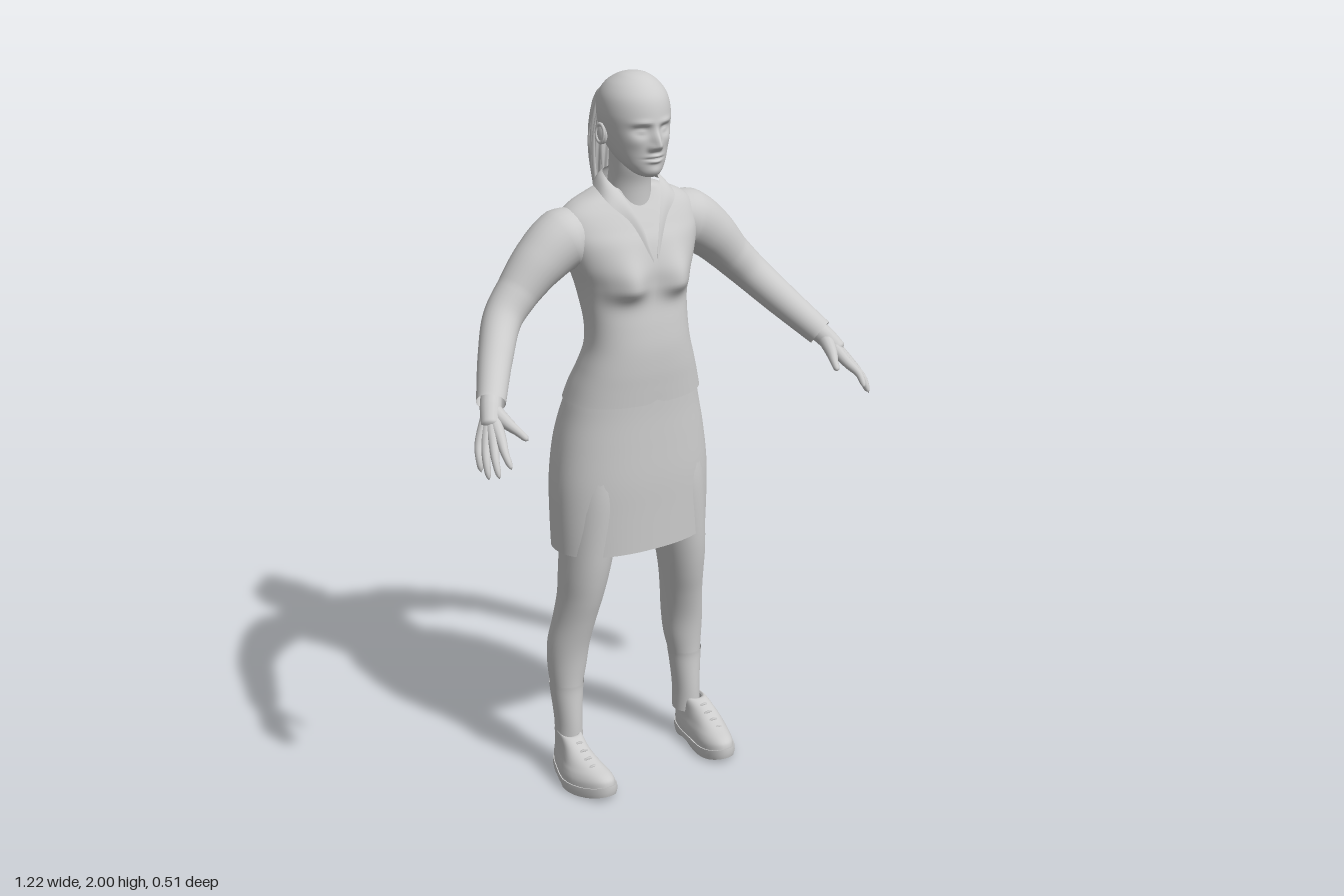
import * as THREE from 'three';
import { mergeVertices, toCreasedNormals } from 'three/addons/utils/BufferGeometryUtils.js';

const clay = new THREE.MeshStandardMaterial({ color: 0xcccccc, side: THREE.DoubleSide });
clay.name = 'light grey';

const V = (x, y, z) => new THREE.Vector3(x, y, z);
const gauss = (d, s) => Math.exp(-(d * d) / (s * s));
const catmull = (a, b, c, d, t) =>
  0.5 * (2 * b + (c - a) * t + (2 * a - 5 * b + 4 * c - d) * t * t + (3 * b - a - 3 * c + d) * t * t * t);

function part(parent, name, geometry) {
  const mesh = new THREE.Mesh(geometry, clay);
  mesh.name = name;
  parent.add(mesh);
  return mesh;
}

// Grid of points at(i, j) turned into a smooth surface
function surface(rows, cols, at) {
  const pos = [], idx = [];
  for (let i = 0; i <= rows; i++) for (let j = 0; j <= cols; j++) pos.push(...at(i, j).toArray());
  for (let i = 0; i < rows; i++) for (let j = 0; j < cols; j++) {
    const a = i * (cols + 1) + j, c = a + cols + 1;
    idx.push(a, c, a + 1, a + 1, c, c + 1);
  }
  let g = new THREE.BufferGeometry();
  g.setAttribute('position', new THREE.Float32BufferAttribute(pos, 3));
  g.setIndex(idx);
  g = mergeVertices(g, 1e-5);
  g.computeVertexNormals();
  return g;
}

// Upward loft through rings [y, halfWidth, zFront, zBack, centreX]; the seam is at the back
function loft(rings, { seg = 40, steps = 6, power = 1, deform = null, gap = () => 0 } = {}) {
  const n = rings.length - 1;
  const ring = (u) => {
    const k = Math.min(Math.floor(u), n - 1), t = u - k;
    const q = (o) => rings[Math.max(0, Math.min(n, k + o))];
    return [0, 1, 2, 3, 4].map((m) => catmull(q(-1)[m] || 0, q(0)[m] || 0, q(1)[m] || 0, q(2)[m] || 0, t));
  };
  const pw = (v) => Math.sign(v) * Math.pow(Math.abs(v), power);
  return surface(n * steps, seg, (i, j) => {
    const [y, w, zf, zb, cx] = ring(i / steps);
    const g = gap(y), t = g + (j / seg) * (Math.PI * 2 - 2 * g);
    const v = V(cx + w * pw(Math.sin(t)), y, (zf + zb) / 2 - ((zf - zb) / 2) * pw(Math.cos(t)));
    if (deform) deform(v, t);
    return v;
  });
}

// Tube of changing radius, optionally with a rounded far end
function limb(points, radii, round = false, seg = 16, n = 28) {
  const curve = new THREE.CatmullRomCurve3(points);
  const g = new THREE.TubeGeometry(curve, n, 1, seg);
  const p = g.attributes.position, v = V(0, 0, 0);
  for (let i = 0; i <= n; i++) {
    const u = i / n, c = curve.getPointAt(u);
    const f = curve.getUtoTmapping(u) * (radii.length - 1), k = Math.min(Math.floor(f), radii.length - 2);
    let r = THREE.MathUtils.lerp(radii[k], radii[k + 1], f - k);
    if (round) r *= Math.sqrt(Math.min(1, (1 - u) * 12));
    for (let j = 0; j <= seg; j++) {
      const m = i * (seg + 1) + j;
      v.fromBufferAttribute(p, m).sub(c).multiplyScalar(r).add(c);
      p.setXYZ(m, v.x, v.y, v.z);
    }
  }
  g.deleteAttribute('uv');
  g.deleteAttribute('normal');
  const out = mergeVertices(g, 1e-5);
  out.computeVertexNormals();
  return out;
}

// Brow, eyes, nose, mouth and chin pushed out of the front of the head
function shapeFace(v) {
  if (v.z < -0.01) return;
  const { x, y } = v, ax = Math.abs(x);
  const fade = Math.min(1, (v.z + 0.01) / 0.03);
  const bump = (cx, cy, sx, sy, h) => h * gauss(ax - cx, sx) * gauss(y - cy, sy);
  let d = 0.027 * gauss(x, 0.012) * gauss(y - 0.006 - 1.82, y > 1.826 ? 0.034 : 0.012);
  d += bump(0.014, 1.82, 0.008, 0.01, 0.009);
  d += bump(0.034, 1.864, 0.02, 0.013, -0.014) + bump(0.034, 1.862, 0.013, 0.007, 0.009);
  d += bump(0.034, 1.884, 0.024, 0.008, 0.006) + bump(0.05, 1.835, 0.02, 0.018, 0.004);
  d += bump(0, 1.797, 0.02, 0.005, 0.008) + bump(0, 1.783, 0.018, 0.005, 0.008);
  d += bump(0, 1.79, 0.022, 0.002, -0.006) + bump(0, 1.757, 0.02, 0.012, 0.004);
  v.z += d * fade;
}

// Bust and the small notch in the blouse hem
function shapeBlouse(v) {
  if (v.z > -0.03) {
    const h = gauss(Math.abs(v.x) - 0.075, 0.05) * gauss(v.y - 1.45, v.y > 1.45 ? 0.075 : 0.035);
    v.z += 0.036 * h * Math.min(1, (v.z + 0.03) / 0.04);
    v.y += 0.01 * gauss(v.x, 0.015) * gauss(v.y - 1.125, 0.02);
  }
}

function addArm(parent, s) {
  const arm = new THREE.Group();
  arm.name = s > 0 ? 'leftArm' : 'rightArm';
  parent.add(arm);
  const P = (x, y, z) => V(x * s, y, z);
  part(arm, 'sleeve', limb(
    [P(0.1, 1.575, -0.1), P(0.19, 1.57, -0.1), P(0.265, 1.522, -0.097), P(0.335, 1.452, -0.092),
      P(0.39, 1.395, -0.075), P(0.45, 1.322, -0.008), P(0.518, 1.238, 0.087)],
    [0.06, 0.084, 0.072, 0.058, 0.052, 0.046, 0.038], false, 28, 60));
  part(arm, 'wrist', limb([P(0.5, 1.26, 0.06), P(0.525, 1.23, 0.098), P(0.55, 1.19, 0.14)], [0.028, 0.028, 0.024], true));
  // Knuckle then fingertip of each finger
  const fingers = [
    [P(0.543, 1.172, 0.182), P(0.552, 1.118, 0.25)], [P(0.56, 1.163, 0.175), P(0.579, 1.094, 0.235)],
    [P(0.573, 1.157, 0.16), P(0.594, 1.085, 0.207)], [P(0.582, 1.157, 0.142), P(0.6, 1.097, 0.178)]];
  for (const [knuckle, tip] of fingers) {
    const mid = knuckle.clone().lerp(tip, 0.5).add(P(0.006, 0.004, 0.005));
    part(arm, 'finger', limb([P(0.527, 1.225, 0.1), knuckle, mid, tip], [0.021, 0.014, 0.01, 0.007], true, 12));
  }
  part(arm, 'thumb', limb([P(0.523, 1.225, 0.105), P(0.508, 1.2, 0.155), P(0.495, 1.185, 0.185), P(0.484, 1.17, 0.215)],
    [0.022, 0.016, 0.011, 0.008], true, 12));
}

function addLeg(parent, s) {
  const leg = new THREE.Group();
  leg.name = s > 0 ? 'leftLeg' : 'rightLeg';
  parent.add(leg);
  const rings = [
    [0.09, 0.036, -0.05, -0.13, 0.2], [0.16, 0.035, -0.05, -0.135, 0.2], [0.25, 0.043, -0.055, -0.145, 0.2],
    [0.33, 0.055, -0.05, -0.16, 0.195], [0.4, 0.059, -0.04, -0.165, 0.19], [0.48, 0.058, -0.02, -0.156, 0.178],
    [0.55, 0.06, 0, -0.149, 0.168], [0.62, 0.066, 0.015, -0.15, 0.16], [0.7, 0.072, 0.025, -0.155, 0.15],
    [0.85, 0.085, 0.035, -0.17, 0.13], [0.95, 0.09, 0.03, -0.18, 0.12]].map((r) => [...r.slice(0, 4), r[4] * s]);
  part(leg, 'shinAndThigh', loft(rings));
  const sock = [...rings.slice(0, 3), [0.28, 0.047, -0.054, -0.149, 0.199 * s]];
  part(leg, 'sock', loft(sock.map(([y, w, f, b, c]) => [y, w + 0.003, f + 0.003, b - 0.003, c])));

  // Shoe: narrow heel, toe turned in and lifted, raised arch
  const shoeForm = (v) => {
    const heel = THREE.MathUtils.smoothstep(v.z, -0.13, 0.03);
    v.x = v.x * (0.72 + 0.28 * heel) + s * (0.208 + 0.008 * gauss(v.z, 0.06) - 0.01 * Math.max(0, v.z) / 0.13);
    v.y += 0.018 * Math.pow(Math.max(0, (v.z - 0.03) / 0.1), 2);
    if (v.y < 0.01) v.y += 0.013 * gauss(v.z + 0.045, 0.03);
  };
  part(leg, 'shoeUpper', loft([
    [0.025, 0.057, 0.127, -0.14], [0.045, 0.056, 0.122, -0.142], [0.062, 0.052, 0.104, -0.141],
    [0.08, 0.046, 0.07, -0.138], [0.105, 0.041, 0.02, -0.137], [0.132, 0.039, -0.03, -0.138],
    [0.128, 0.033, -0.045, -0.13]], { deform: shoeForm, power: 0.9 }));
  const sole = loft([[0, 0, -0.01, -0.01], [0, 0.03, 0.06, -0.08], [0, 0.058, 0.13, -0.142], [0.014, 0.061, 0.134, -0.146],
    [0.03, 0.06, 0.132, -0.145], [0.03, 0.05, 0.115, -0.13]], { steps: 1, deform: shoeForm, power: 0.9 });
  part(leg, 'shoeSole', toCreasedNormals(sole, 0.7));
  for (let i = 0; i < 4; i++) {
    const y = 0.082 + i * 0.013, z = 0.062 - i * 0.025, x = 0.212 * s;
    part(leg, 'shoelace', limb([V(x - 0.024, y - 0.012, z - 0.008), V(x, y + 0.003, z), V(x + 0.024, y - 0.012, z - 0.008)],
      [0.004, 0.004, 0.004], false, 6, 8));
  }
}

function addHead(parent) {
  const head = new THREE.Group();
  head.name = 'head';
  parent.add(head);
  part(head, 'skullAndFace', loft([
    [1.737, 0, 0.018, 0.018], [1.739, 0.016, 0.034, 0], [1.748, 0.036, 0.043, -0.03], [1.768, 0.055, 0.047, -0.07],
    [1.79, 0.068, 0.049, -0.11], [1.82, 0.079, 0.05, -0.14], [1.86, 0.088, 0.051, -0.158], [1.9, 0.092, 0.051, -0.166],
    [1.94, 0.086, 0.04, -0.16], [1.97, 0.068, 0.016, -0.138], [1.99, 0.042, -0.012, -0.105],
    [1.998, 0.02, -0.036, -0.077], [2, 0, -0.055, -0.055]], { seg: 120, steps: 9, deform: shapeFace }));
  part(head, 'neck', loft([[1.6, 0.07, -0.02, -0.15], [1.7, 0.056, -0.018, -0.142], [1.76, 0.053, -0.005, -0.136],
    [1.83, 0.055, -0.01, -0.135]]));
  for (const s of [1, -1]) {
    const ear = part(head, 'ear', new THREE.SphereGeometry(1, 20, 14));
    ear.scale.set(0.007, 0.027, 0.017);
    ear.position.set(s * 0.091, 1.845, -0.064);
    ear.rotation.set(-0.2, s * -0.3, 0);
    const rim = part(head, 'earRim', new THREE.TorusGeometry(0.017, 0.004, 8, 24));
    rim.scale.set(0.8, 1.4, 1);
    rim.position.set(s * 0.096, 1.846, -0.066);
    rim.rotation.set(0, Math.PI / 2 - s * 0.3, 0);
  }

  // Ponytail with ridged locks and loose strand ends
  part(head, 'ponytail', loft([
    [1.575, 0.003, -0.202, -0.208], [1.62, 0.018, -0.19, -0.224], [1.7, 0.029, -0.18, -0.244], [1.78, 0.034, -0.174, -0.252],
    [1.85, 0.032, -0.172, -0.248], [1.9, 0.026, -0.168, -0.234], [1.93, 0.018, -0.16, -0.212], [1.942, 0, -0.17, -0.17]],
  { seg: 72, deform: (v, t) => {
    const k = 1 + 0.08 * Math.sin(t * 12 + v.y * 25) * Math.min(1, (1.942 - v.y) * 20);
    v.x *= k;
    v.z = -0.21 + (v.z + 0.21) * k;
  } }));
  for (let i = 0; i < 10; i++) {
    const a = (i / 10) * Math.PI * 2, x = Math.sin(a), z = Math.cos(a), low = 1.6 + 0.05 * ((i * 7) % 5) / 2;
    part(head, 'hairStrand', limb([V(x * 0.02, 1.89, -0.203 + z * 0.024), V(x * 0.034, 1.79, -0.213 + z * 0.038),
      V(x * 0.03, low + 0.06, -0.212 + z * 0.033), V(x * 0.018, low, -0.207 + z * 0.02)], [0.005, 0.006, 0.005, 0.002], true, 6, 16));
  }
  const tie = part(head, 'hairTie', new THREE.TorusGeometry(0.016, 0.006, 10, 24));
  tie.position.set(0, 1.925, -0.17);
  tie.rotation.x = -0.5;
}

export function createModel() {
  const model = new THREE.Group();
  model.name = 'standingWoman';
  addHead(model);

  part(model, 'blouse', loft([
    [1.125, 0.198, 0.06, -0.203], [1.17, 0.185, 0.062, -0.188], [1.22, 0.168, 0.064, -0.165], [1.28, 0.15, 0.063, -0.147],
    [1.34, 0.146, 0.056, -0.152], [1.4, 0.152, 0.046, -0.17], [1.45, 0.163, 0.043, -0.182], [1.5, 0.18, 0.043, -0.19],
    [1.56, 0.198, 0.03, -0.194], [1.6, 0.203, 0.01, -0.19], [1.635, 0.194, -0.01, -0.181], [1.66, 0.165, -0.025, -0.171],
    [1.68, 0.12, -0.035, -0.161], [1.695, 0.08, -0.04, -0.152], [1.7, 0.05, -0.045, -0.142]],
  { seg: 96, power: 0.88, deform: shapeBlouse }));

  // Folded collar running from the V neckline round the neck, in two halves
  const top = [[0.004, 1.52, 0.05], [0.03, 1.62, 0.022], [0.06, 1.69, -0.02], [0.074, 1.722, -0.07], [0.052, 1.734, -0.125], [0, 1.736, -0.147]];
  const edge = [[0.007, 1.515, 0.052], [0.055, 1.62, 0.018], [0.1, 1.668, -0.012], [0.102, 1.692, -0.065], [0.075, 1.7, -0.138], [0, 1.7, -0.166]];
  for (const s of [1, -1]) {
    const curves = [top, edge].map((l) => new THREE.CatmullRomCurve3(l.map(([x, y, z]) => V(x * s, y, z))));
    part(model, 'collar', surface(30, 6, (i, j) => {
      const v = curves[0].getPoint(i / 30).lerp(curves[1].getPoint(i / 30), j / 6);
      v.y += 0.006 * Math.sin((j / 6) * Math.PI);
      return v;
    }));
  }

  // Pencil skirt with a vent opening up the back
  part(model, 'skirt', loft([
    [0.695, 0.234, 0.05, -0.22], [0.8, 0.237, 0.052, -0.223], [0.9, 0.235, 0.054, -0.228], [1, 0.222, 0.052, -0.226],
    [1.08, 0.204, 0.05, -0.212], [1.14, 0.187, 0.05, -0.19], [1.2, 0.16, 0.05, -0.158]],
  { seg: 72, power: 0.88, gap: (y) => 0.05 * Math.max(0, (0.87 - y) / 0.17) }));

  for (const s of [1, -1]) {
    addArm(model, s);
    addLeg(model, s);
  }
  return model;
}
